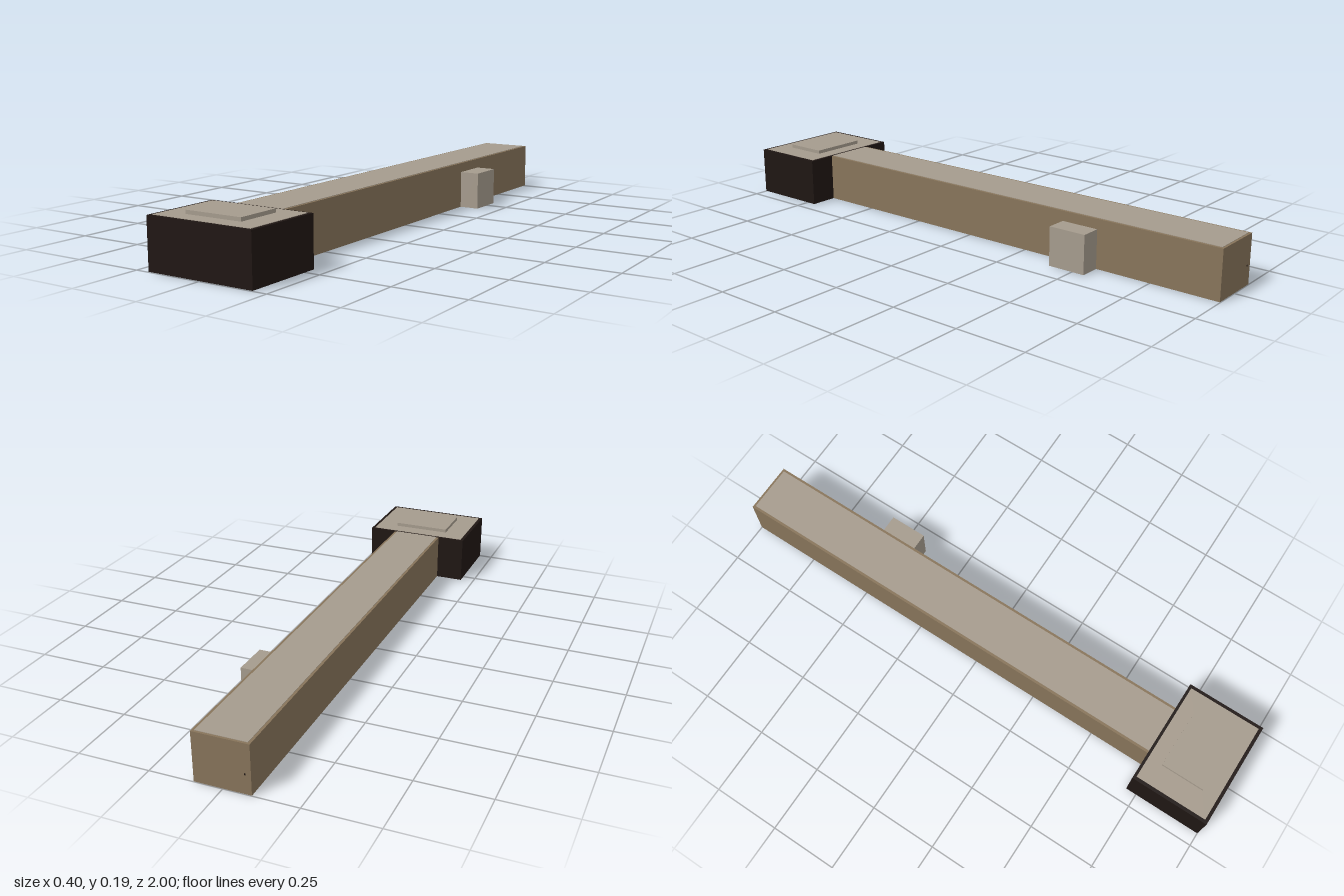
import * as THREE from 'three';

const mat = (color) => new THREE.MeshStandardMaterial({ color });

export function createModel() {
  const group = new THREE.Group();
  const brown = mat(0x87745a);
  const pale = mat(0xa59b8d);
  const dark = mat(0x1f1613);
  const charcoal = mat(0x2e2a26);
  const black = mat(0x080808);

  // Box given by its minimum and maximum corners
  function block(name, material, [x0, y0, z0], [x1, y1, z1]) {
    const mesh = new THREE.Mesh(new THREE.BoxGeometry(x1 - x0, y1 - y0, z1 - z0), material);
    mesh.position.set((x0 + x1) / 2, (y0 + y1) / 2, (z0 + z1) / 2);
    mesh.name = name;
    group.add(mesh);
  }

  const top = 0.177, skin = 0.0015;

  // Long wing with inset roof and floor panels
  block('wing', brown, [-0.096, skin, -1], [0.096, top - skin, 0.71]);
  block('wingRoof', pale, [-0.087, top - 0.01, -0.992], [0.087, top, 0.71]);
  block('wingFloor', black, [-0.088, 0, -0.99], [0.088, 0.01, 0.71]);

  // Wide front block with its roof, raised rooftop and floor
  block('frontBlock', dark, [-0.2, skin, 0.71], [0.2, top - skin, 1]);
  block('frontRoof', pale, [-0.188, top - 0.01, 0.72], [0.188, top, 0.988]);
  block('raisedRoof', pale, [-0.107, top - 0.005, 0.772], [0.107, 0.19, 0.932]);
  block('frontFloor', charcoal, [-0.19, 0, 0.72], [0.19, 0.01, 0.99]);

  // Small annex on the side of the wing
  block('sideAnnex', pale, [0.09, skin, -0.548], [0.17, 0.14, -0.41]);
  block('annexFloor', charcoal, [0.097, 0, -0.541], [0.163, 0.01, -0.417]);

  // Tiny fitting on the rear wall
  block('rearFitting', dark, [-0.079, 0.068, -1.001], [-0.074, 0.074, -0.998]);

  return group;
}
